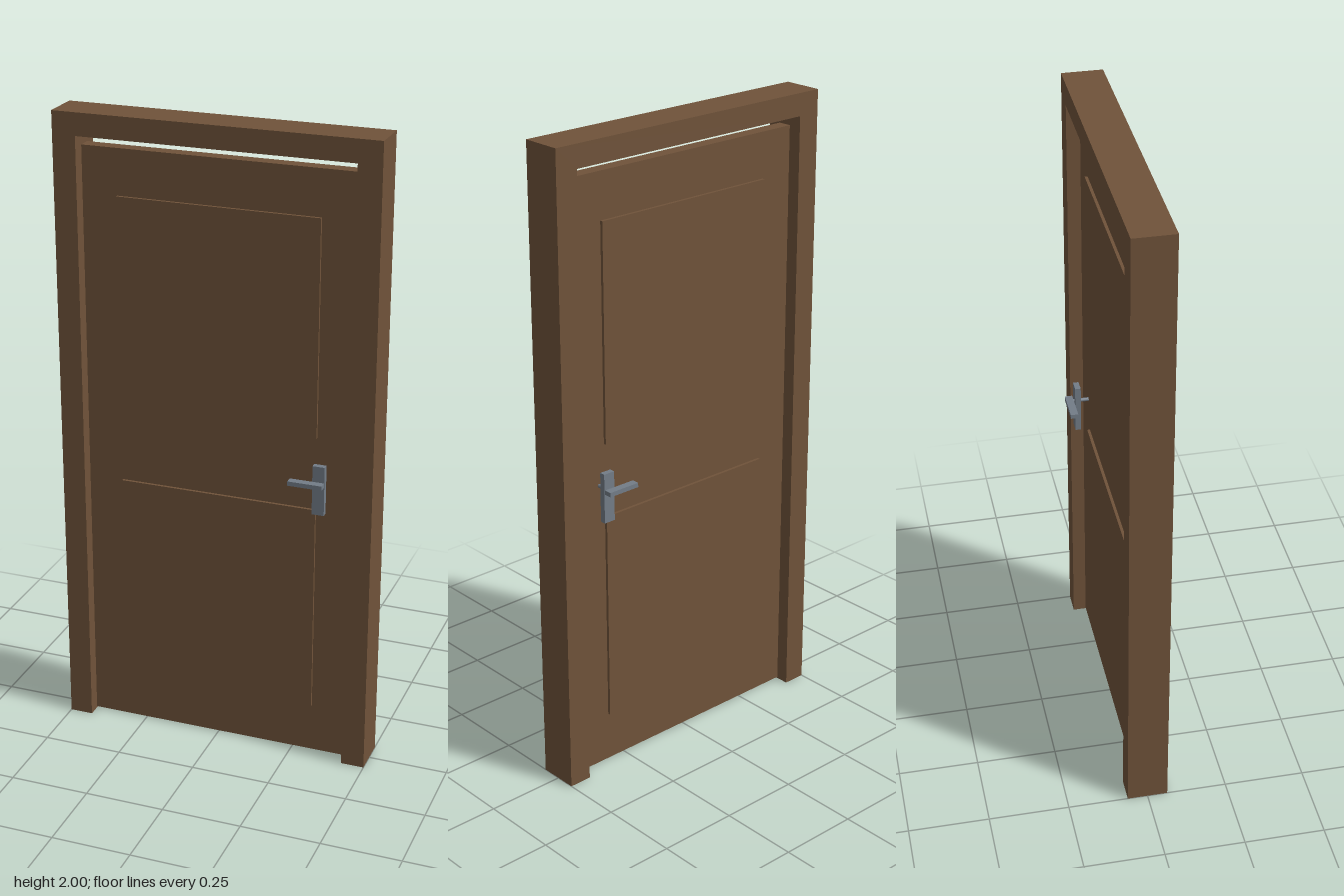
import * as THREE from 'three';

export function createModel() {
  const door = new THREE.Group();
  door.name = 'door';
  const wood = new THREE.MeshStandardMaterial({ color: 0x70533a });
  wood.name = 'brown wood';
  const metal = new THREE.MeshStandardMaterial({ color: 0x737d88 });
  metal.name = 'grey metal';

  // box given by its lower and upper corner
  function box(name, material, [x0, y0, z0], [x1, y1, z1], parent = door) {
    const mesh = new THREE.Mesh(new THREE.BoxGeometry(x1 - x0, y1 - y0, z1 - z0), material);
    mesh.position.set((x0 + x1) / 2, (y0 + y1) / 2, (z0 + z1) / 2);
    mesh.name = name;
    parent.add(mesh);
  }

  // frame: one U-shaped extrusion, open at the floor
  const outline = new THREE.Shape();
  outline.setFromPoints([
    [-0.5, 0], [-0.427, 0], [-0.427, 1.93], [0.427, 1.93],
    [0.427, 0], [0.5, 0], [0.5, 2], [-0.5, 2],
  ].map(([x, y]) => new THREE.Vector2(x, y)));
  const frameGeometry = new THREE.ExtrudeGeometry(outline, { depth: 0.126, bevelEnabled: false });
  frameGeometry.translate(0, 0, -0.063);
  const frame = new THREE.Mesh(frameGeometry, wood);
  frame.name = 'frame';
  door.add(frame);

  // leaf, set back in the frame with a gap above
  box('leaf', wood, [-0.427, 0.004, -0.021], [0.427, 1.895, 0.021]);

  // raised panels, standing proud on both faces
  box('upperPanel', wood, [-0.316, 1.075, -0.03], [0.314, 1.752, 0.03]);
  box('lowerPanel', wood, [-0.316, 0.163, -0.03], [0.314, 0.842, 0.03]);

  // handles on both faces
  for (const side of [1, -1]) {
    const handle = new THREE.Group();
    handle.name = side > 0 ? 'frontHandle' : 'backHandle';
    const span = (a, b) => (side > 0 ? [a, b] : [-b, -a]);
    const [p0, p1] = span(0.049, 0.067);
    box('plate', metal, [0.315, 0.846, p0], [0.353, 1.003, p1], handle);
    const [l0, l1] = span(0.07, 0.094);
    box('lever', metal, [0.246, 0.94, l0], [0.353, 0.954, l1], handle);
    door.add(handle);
  }

  // spindle joining the two handles through the leaf
  const spindle = new THREE.Mesh(new THREE.CylinderGeometry(0.006, 0.006, 0.15, 12), metal);
  spindle.rotation.x = Math.PI / 2;
  spindle.position.set(0.334, 0.947, 0);
  spindle.name = 'spindle';
  door.add(spindle);

  return door;
}
